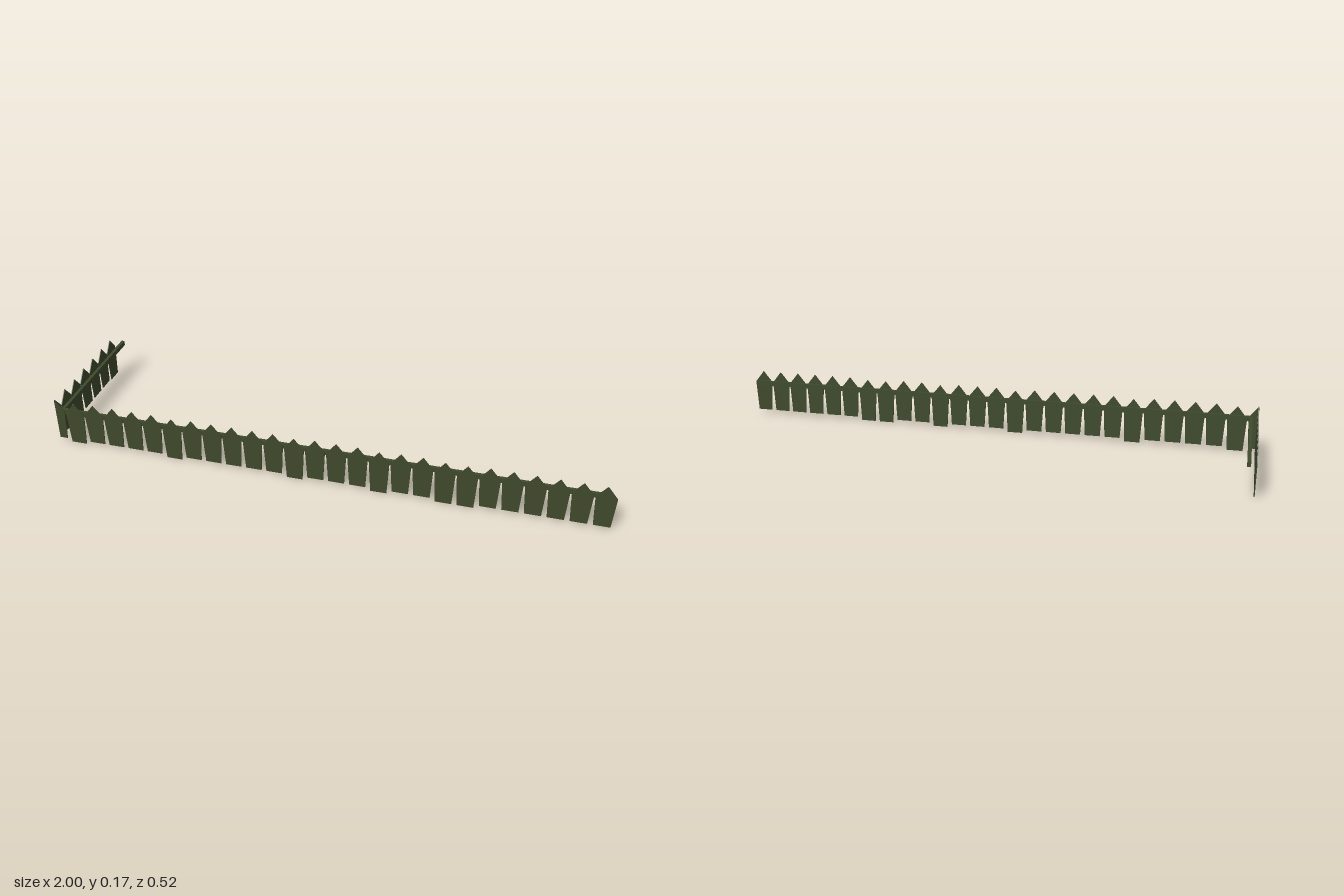
import * as THREE from 'three';

const PITCH = 0.0755;   // spacing between pickets
const THICK = 0.003;

// Tapered, pointed picket outline; "half" keeps only the +x side for the corner
function picketGeometry(drop, half) {
  const bottom = 0.012 - drop, shoulder = 0.13 - drop * 0.5, tip = 0.174 - drop * 0.5;
  const s = new THREE.Shape();
  s.moveTo(half ? 0 : -0.0285, bottom);
  s.lineTo(0.0285, bottom);
  s.lineTo(0.0357, shoulder);
  s.lineTo(0, tip);
  if (!half) s.lineTo(-0.0357, shoulder);
  s.closePath();
  return new THREE.ExtrudeGeometry(s, { depth: THICK, bevelEnabled: false });
}

export function createModel() {
  const model = new THREE.Group();
  model.name = 'cornerFence';
  const wood = new THREE.MeshStandardMaterial({ color: 0x3f4a2c, side: THREE.DoubleSide });
  wood.name = 'darkOliveWood';

  // One row of pickets along local +x, beginning with a half picket at the corner
  function picketRow(name, count, lowOnes, drop, drift) {
    const row = new THREE.Group();
    row.name = name;
    const full = picketGeometry(0, false);
    const low = picketGeometry(drop, false);
    for (let i = 0; i < count; i++) {
      const geo = i === 0 ? picketGeometry(0, true) : lowOnes.includes(i) ? low : full;
      const picket = new THREE.Mesh(geo, wood);
      picket.name = i === 0 ? 'cornerPicket' : 'picket';
      picket.position.set(i * PITCH, 0, drift * i / count);
      row.add(picket);
    }
    model.add(row);
    return row;
  }

  // Long front row
  const front = picketRow('frontPickets', 27, [1, 6, 12, 16, 19, 20], 0.012, 0.004);
  front.position.set(-1, 0, 0.2545);

  // Short side row, turned to run towards -z
  const side = picketRow('sidePickets', 7, [2, 6], 0.006, 0);
  side.rotation.y = Math.PI / 2;
  side.position.set(-0.999, 0, 0.256);

  // Horizontal rails on the inner faces
  function rail(name, w, d, x, z) {
    const mesh = new THREE.Mesh(new THREE.BoxGeometry(w, 0.018, d), wood);
    mesh.name = name;
    mesh.position.set(x, 0.128, z);
    model.add(mesh);
  }
  rail('frontRail', 1.96, 0.011, 0.005, 0.2485);
  rail('sideRail', 0.012, 0.505, -0.973, -0.0085);

  return model;
}
